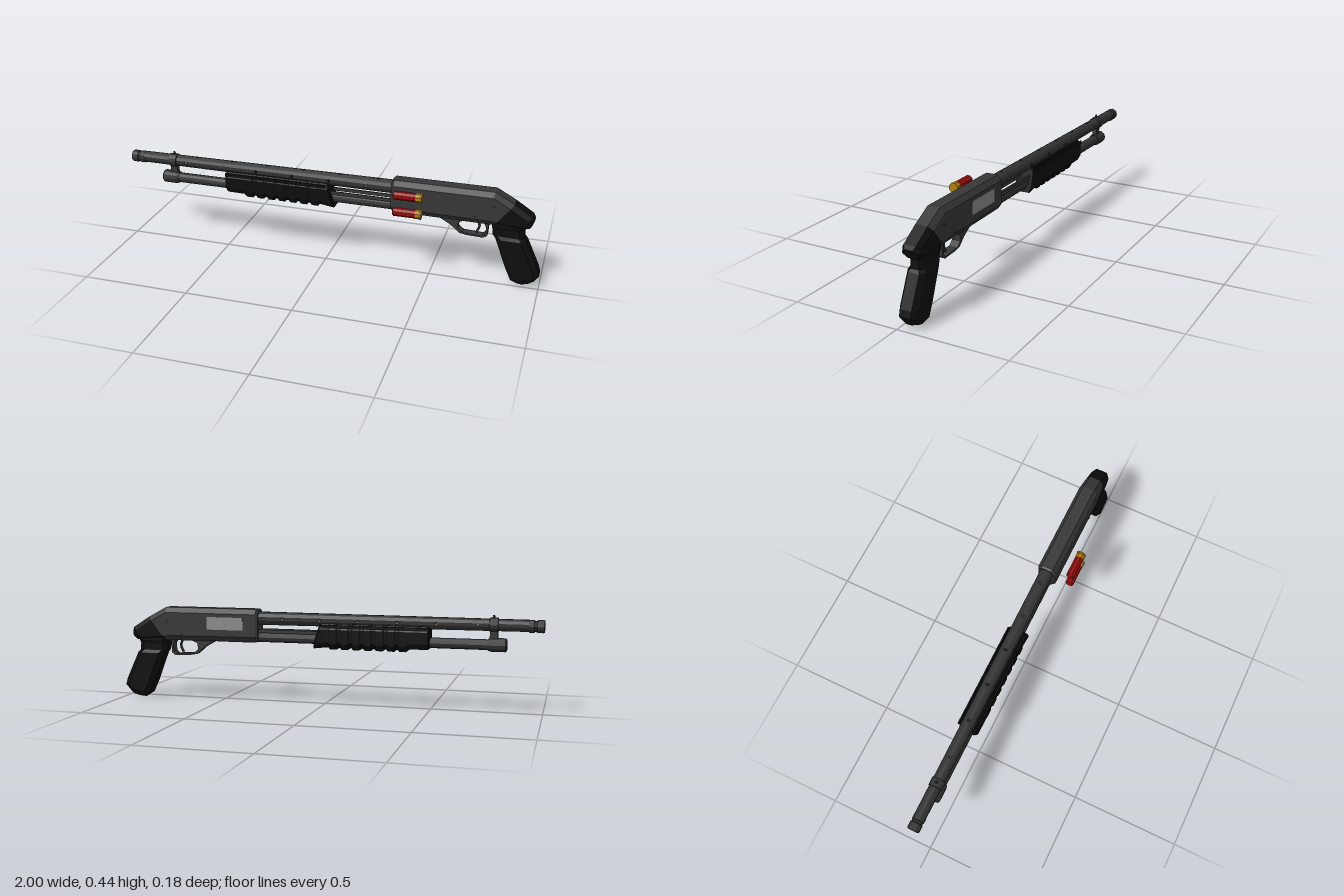
import * as THREE from 'three';
import { mergeGeometries } from 'three/addons/utils/BufferGeometryUtils.js';

const mat = (color, side = THREE.FrontSide) =>
  new THREE.MeshStandardMaterial({ color, flatShading: true, side });
const STEEL = mat(0x383838), BARREL = mat(0x333333, THREE.DoubleSide), BLACK = mat(0x0e0e0e);
const PORT = mat(0x8c8c8c), RED = mat(0x9c0c0c), BRASS = mat(0xb08012);

function add(parent, name, geometry, material, x = 0, y = 0, z = 0) {
  const mesh = new THREE.Mesh(geometry, material);
  mesh.name = name;
  mesh.position.set(x, y, z);
  parent.add(mesh);
  return mesh;
}

// Loft through chamfered octagon sections.
// Each ring: [ax, ay, bx, by, halfWidth], a and b being the two ends of the section.
function loft(rings, cut = 0.02, cutZ = 0.017) {
  const pos = [], index = [];
  for (const [ax, ay, bx, by, w] of rings) {
    const f = Math.min(0.45, cut / Math.hypot(bx - ax, by - ay));
    const n = Math.max(w - cutZ, w * 0.3);
    const section = [[0, n], [f, w], [1 - f, w], [1, n], [1, -n], [1 - f, -w], [f, -w], [0, -n]];
    for (const [t, z] of section) pos.push(ax + (bx - ax) * t, ay + (by - ay) * t, z);
  }
  for (let r = 0; r < rings.length - 1; r++) {
    for (let i = 0; i < 8; i++) {
      const a = r * 8 + i, b = r * 8 + (i + 1) % 8;
      index.push(a, b, b + 8, a, b + 8, a + 8);
    }
  }
  const last = (rings.length - 1) * 8;
  for (let i = 1; i < 7; i++) index.push(0, i + 1, i, last, last + i, last + i + 1);
  const g = new THREE.BufferGeometry();
  g.setAttribute('position', new THREE.Float32BufferAttribute(pos, 3));
  g.setIndex(index);
  g.computeVertexNormals();
  return g;
}

// Turned part along x; points are [x, radius]
function turned(points, sides = 12) {
  const g = new THREE.LatheGeometry(points.map(([x, r]) => new THREE.Vector2(r, x)), sides);
  return g.rotateZ(-Math.PI / 2);
}

// Hollow barrel of twelve flat panels, four of them pierced by vent holes
function barrelGeometry(x0, x1, r) {
  const panels = [], h = r * Math.tan(Math.PI / 12);
  for (let i = 0; i < 12; i++) {
    const s = new THREE.Shape([[x0, -h], [x1, -h], [x1, h], [x0, h]].map(p => new THREE.Vector2(...p)));
    if (i % 3 === 0) {
      const start = i % 6 === 0 ? -0.71 : -0.66;
      for (let k = 0; k < 6; k++) {
        s.holes.push(new THREE.Path().absarc(start + 0.18 * k, 0, 0.0065, 0, Math.PI * 2, true));
      }
    }
    panels.push(new THREE.ShapeGeometry(s, 4).translate(0, 0, r).rotateX(i * Math.PI / 6));
  }
  const g = mergeGeometries(panels), p = g.attributes.position;
  for (let i = 0; i < p.count; i++) {
    const k = 1 + 0.18 * (p.getX(i) - x0) / (x1 - x0);
    p.setY(i, p.getY(i) * k);
    p.setZ(i, p.getZ(i) * k);
  }
  return g;
}

export function createModel() {
  const model = new THREE.Group();
  model.name = 'pumpShotgun';
  const gun = new THREE.Group();
  gun.name = 'gun';
  gun.position.z = -0.04;
  model.add(gun);

  // Barrel and muzzle collars
  add(gun, 'barrel', barrelGeometry(-0.95, 0.33, 0.026), BARREL, 0, 0.402);
  add(gun, 'muzzle', turned([[-0.93, 0.025], [-0.935, 0.0285], [-0.955, 0.0285], [-0.958, 0.025],
    [-0.966, 0.025], [-0.969, 0.0285], [-0.995, 0.0285], [-1, 0.026], [-1, 0.02], [-0.94, 0.02]]),
    BARREL, 0, 0.4);

  // Magazine tube with end cap
  add(gun, 'magazineTube', turned([[-0.78, 0.024], [0.33, 0.024]]), BARREL, 0, 0.313);
  add(gun, 'magazineCap', turned([[-0.84, 0], [-0.84, 0.025], [-0.834, 0.031], [-0.77, 0.031],
    [-0.757, 0.027], [-0.757, 0]]), BARREL, 0, 0.313);

  // Barrel clamp and front sight
  add(gun, 'barrelClamp', turned([[-0.803, 0.025], [-0.8, 0.032], [-0.764, 0.032], [-0.761, 0.025]]),
    BARREL, 0, 0.402);
  add(gun, 'clampLug', new THREE.BoxGeometry(0.036, 0.06, 0.022), STEEL, -0.782, 0.355);
  add(gun, 'frontSight', new THREE.CylinderGeometry(0.004, 0.008, 0.016, 8), STEEL, -0.78, 0.438);

  // Ribbed pump grip with slanted rear end
  const pump = [[-0.5, 0.385, -0.5, 0.288, 0.04], [-0.492, 0.387, -0.492, 0.284, 0.045],
    [-0.41, 0.387, -0.41, 0.283, 0.045]];
  for (let i = 0; i < 7; i++) {
    const x = -0.395 + i * 0.054;
    pump.push([x, 0.387, x, 0.27, 0.045], [x + 0.03, 0.387, x + 0.03, 0.27, 0.045],
      [x + 0.037, 0.387, x + 0.037, 0.279, 0.042], [x + 0.046, 0.387, x + 0.046, 0.279, 0.042]);
  }
  pump.push([0.0, 0.387, 0.035, 0.272, 0.045], [0.008, 0.385, 0.04, 0.274, 0.04]);
  add(gun, 'pumpGrip', loft(pump, 0.025, 0.014), BLACK);
  for (const s of [-1, 1]) {
    add(gun, 'pumpRail', new THREE.BoxGeometry(0.5, 0.016, 0.006), BLACK, -0.25, 0.376, s * 0.044);
    add(gun, 'actionBar', new THREE.BoxGeometry(0.34, 0.016, 0.006), STEEL, 0.16, 0.343, s * 0.024);
  }

  // Receiver
  add(gun, 'receiver', loft([[0.308, 0.438, 0.308, 0.295, 0.039], [0.318, 0.445, 0.318, 0.29, 0.045],
    [0.765, 0.445, 0.735, 0.287, 0.045], [0.775, 0.445, 0.745, 0.287, 0.045],
    [0.862, 0.398, 0.775, 0.287, 0.045]], 0.024), STEEL);
  add(gun, 'ejectionPort', new THREE.BoxGeometry(0.18, 0.06, 0.004), PORT, 0.47, 0.375, -0.0445);
  add(gun, 'loadingPort', new THREE.BoxGeometry(0.15, 0.004, 0.04), PORT, 0.42, 0.289);
  for (const [x, y] of [[0.695, 0.32], [0.77, 0.378]]) {
    add(gun, 'receiverPin', new THREE.CylinderGeometry(0.007, 0.007, 0.096, 8).rotateX(Math.PI / 2), STEEL, x, y);
  }

  // Trigger guard with its opening, and the trigger
  const v = pts => pts.map(p => new THREE.Vector2(...p));
  const guard = new THREE.Shape(v([[0.53, 0.295], [0.53, 0.288], [0.585, 0.257], [0.625, 0.222],
    [0.66, 0.216], [0.735, 0.213], [0.752, 0.225], [0.755, 0.295]]));
  guard.holes.push(new THREE.Path(v([[0.62, 0.275], [0.645, 0.286], [0.735, 0.286], [0.745, 0.265],
    [0.742, 0.232], [0.73, 0.221], [0.64, 0.226], [0.617, 0.245]])));
  add(gun, 'triggerGuard', new THREE.ExtrudeGeometry(guard, { depth: 0.04, bevelEnabled: false }),
    STEEL, 0, 0, -0.02);
  const triggerPath = new THREE.CatmullRomCurve3([[0.7, 0.295], [0.713, 0.262], [0.7, 0.228]]
    .map(([x, y]) => new THREE.Vector3(x, y, 0)));
  add(gun, 'trigger', new THREE.TubeGeometry(triggerPath, 6, 0.006, 6), STEEL);

  // Black rear stock and pistol grip
  add(gun, 'stock', loft([[0.862, 0.398, 0.775, 0.287, 0.045], [0.945, 0.345, 0.88, 0.28, 0.045],
    [0.955, 0.328, 0.935, 0.286, 0.036]], 0.024), BLACK);
  add(gun, 'pistolGrip', loft([[0.925, 0.305, 0.77, 0.305, 0.042], [0.92, 0.285, 0.77, 0.283, 0.042],
    [0.915, 0.268, 0.772, 0.268, 0.036], [0.918, 0.235, 0.775, 0.238, 0.036],
    [0.928, 0.222, 0.79, 0.222, 0.043], [0.99, 0.09, 0.845, 0.08, 0.043],
    [0.998, 0.06, 0.872, 0.022, 0.043], [0.975, 0.022, 0.9, 0.002, 0.028]], 0.024), BLACK);

  // Two loose shells beside the receiver
  for (const y of [0.408, 0.328]) {
    const shell = new THREE.Group();
    shell.name = 'shell';
    shell.position.set(0, y, 0.066);
    add(shell, 'shellCase', turned([[0.337, 0], [0.335, 0.015], [0.339, 0.02], [0.44, 0.02]], 8), RED);
    add(shell, 'shellHead', turned([[0.438, 0.02], [0.438, 0.0212], [0.458, 0.0212], [0.459, 0.023],
      [0.466, 0.023], [0.466, 0]], 8), BRASS);
    shell.children.forEach(m => m.geometry.rotateX(Math.PI / 8));
    model.add(shell);
  }
  return model;
}
